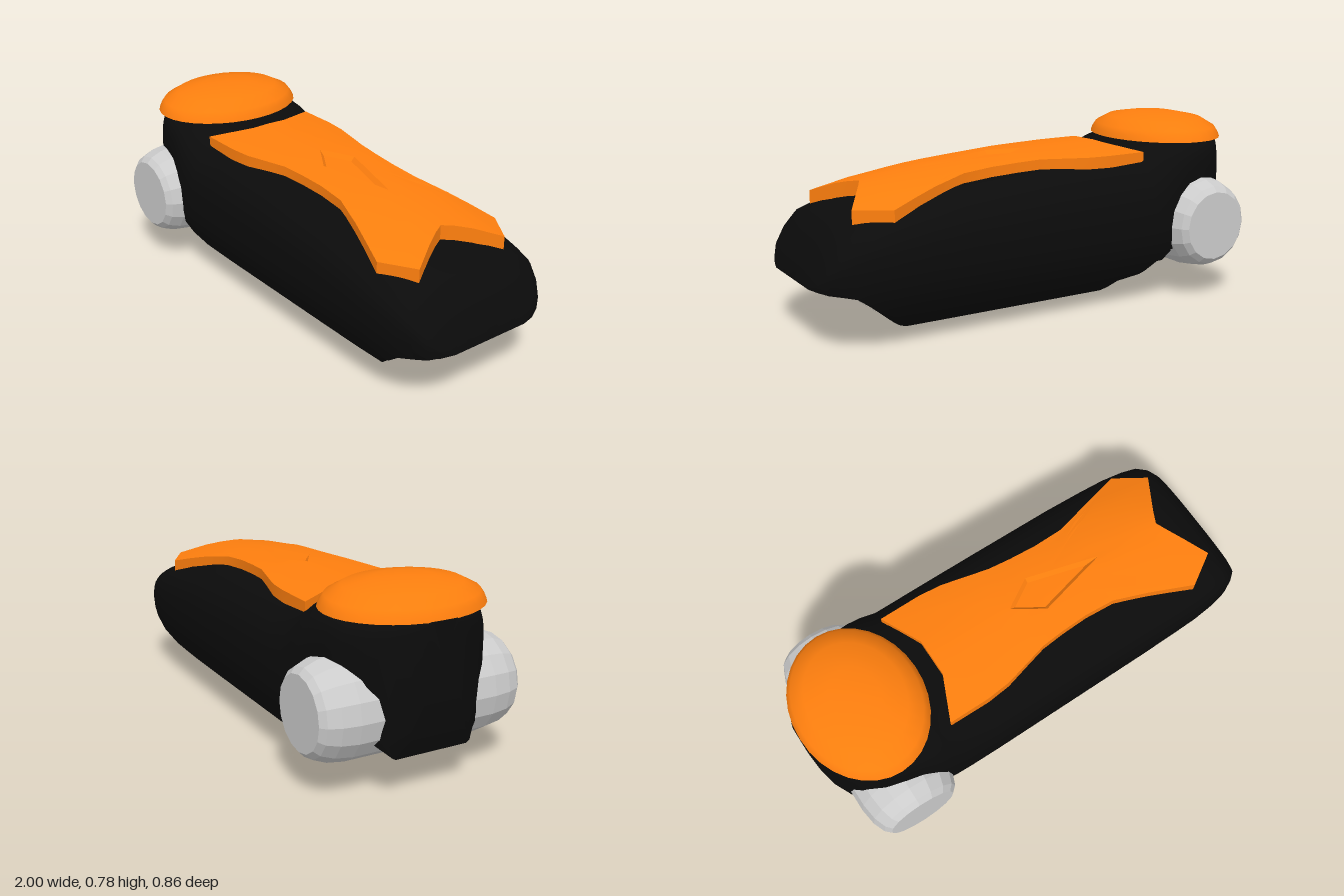
import * as THREE from 'three';
import { toCreasedNormals } from 'three/addons/utils/BufferGeometryUtils.js';

const paint = (color) => new THREE.MeshStandardMaterial({ color });

// Skin a list of closed rings (arrays of Vector3 of equal length).
function loft(rings, crease) {
  const n = rings[0].length, index = [];
  for (let i = 0; i < rings.length - 1; i++) {
    for (let j = 0; j < n; j++) {
      const a = i * n + j, b = i * n + (j + 1) % n, c = a + n, d = b + n;
      index.push(a, c, b, b, c, d);
    }
  }
  const geo = new THREE.BufferGeometry().setFromPoints(rings.flat());
  geo.setIndex(index);
  return toCreasedNormals(geo, crease);
}

// Linear lookup in a sorted table of [x, value].
function lookup(table, x) {
  let i = 1;
  while (i < table.length - 1 && x > table[i][0]) i++;
  const [x0, v0] = table[i - 1], [x1, v1] = table[i];
  return THREE.MathUtils.lerp(v0, v1, THREE.MathUtils.clamp((x - x0) / (x1 - x0), 0, 1));
}

// Body stations: x, top, underside, half width, squareness of the upper half
const stations = [
  [-1, 0.68, 0.40, 0.07, 8], [-0.985, 0.68, 0.28, 0.12, 8], [-0.95, 0.68, 0.17, 0.19, 8],
  [-0.9, 0.68, 0.24, 0.25, 8], [-0.82, 0.68, 0.34, 0.305, 8], [-0.74, 0.68, 0.36, 0.33, 8],
  [-0.66, 0.68, 0.33, 0.345, 6], [-0.6, 0.68, 0.22, 0.362, 4.5], [-0.54, 0.675, 0.17, 0.37, 3.6],
  [-0.47, 0.645, 0.112, 0.373, 3], [-0.33, 0.635, 0, 0.375, 3], [0, 0.625, 0, 0.375, 3],
  [0.4, 0.595, 0, 0.375, 3], [0.58, 0.565, 0, 0.373, 3], [0.7, 0.54, 0.098, 0.37, 3],
  [0.8, 0.51, 0.18, 0.36, 3], [0.87, 0.485, 0.23, 0.345, 3], [0.92, 0.43, 0.24, 0.32, 2.8],
  [0.96, 0.36, 0.245, 0.29, 2.6], [0.985, 0.30, 0.25, 0.24, 2.4], [1, 0.255, 0.25, 0.18, 2.2],
];

function makeBody() {
  const N = 40;
  const rings = stations.map(([x, top, bot, w, n]) => {
    const cy = Math.min(0.33, (top + 0.25) / 2);
    return Array.from({ length: N }, (_, j) => {
      const a = (j / N) * Math.PI * 2, c = Math.cos(a), s = Math.sin(a);
      const e = s > 0 ? 2 / n : 1;
      const z = w * Math.sign(c) * Math.abs(c) ** e;
      const y = s > 0 ? cy + (top - cy) * s ** e : cy + cy * s;
      return new THREE.Vector3(x, Math.max(y, bot), z);
    });
  });
  const close = (x, y) => Array.from({ length: N }, () => new THREE.Vector3(x, y, 0));
  return loft([close(-1, 0.54), ...rings, close(1, 0.252)], 0.65);
}

// Top cover: rings grow from the centre of the diamond recess to the outline
function makeCover() {
  const half = [
    [0.71, 0], [0.735, 0.05], [0.77, 0.11], [0.835, 0.215], [0.7, 0.30], [0.6, 0.268],
    [0.5, 0.235], [0.35, 0.19], [0.22, 0.184], [0.1, 0.19], [0, 0.2], [-0.1, 0.225],
    [-0.2, 0.25], [-0.3, 0.26], [-0.48, 0.26], [-0.4, 0.08], [-0.4, 0],
  ];
  const outline = [...half, ...half.slice(1, -1).reverse().map(([x, z]) => [x, -z])].reverse();
  const crest = [[-0.48, 0.67], [-0.4, 0.672], [0, 0.665], [0.4, 0.64], [0.71, 0.602], [0.84, 0.57]];
  const droop = [[-0.48, 0.35], [0.2, 0.4], [0.7, 0.7], [0.84, 0.7]];
  const ring = (k, drop) => outline.map(([ox, oz]) => {
    const dx = ox - 0.1, dz = oz;
    const r = 1 / (Math.abs(dz) / 0.08 + (dx > 0 ? dx / 0.31 : -dx / 0.13));
    const f = k <= 1 ? r * k : THREE.MathUtils.lerp(r, 1, k - 1);
    const x = 0.1 + dx * f, z = dz * f;
    return new THREE.Vector3(x, lookup(crest, x) - lookup(droop, x) * z * z - drop, z);
  });
  return loft([
    ring(0, 0.018), ring(0.8, 0.018), ring(1, 0),
    ring(1.25, 0), ring(1.5, 0), ring(1.75, 0), ring(2, 0),
    ring(2, 0.06), ring(1.5, 0.06), ring(1, 0.06), ring(0, 0.06),
  ], 0.5);
}

export function createModel() {
  const model = new THREE.Group();
  const add = (name, geo, material) => {
    const mesh = new THREE.Mesh(geo, material);
    mesh.name = name;
    model.add(mesh);
    return mesh;
  };
  const lathe = (pts, sides) =>
    new THREE.LatheGeometry(pts.map(([r, y]) => new THREE.Vector2(r, y)), sides);
  const black = paint(0x0b0b0b), orange = paint(0xff7f0e), grey = paint(0xcccccc);

  add('body', makeBody(), black);
  add('topCover', makeCover(), orange);

  // Domed cap over the rear head
  const dome = lathe([[0, 0], [1, 0], [0.97, 0.022], [0.92, 0.044], [0.72, 0.077], [0.37, 0.096], [0, 0.101]], 32);
  dome.scale(0.263, 1, 0.327);
  add('rearCap', toCreasedNormals(dome, 0.7), orange).position.set(-0.737, 0.677, 0);

  // Barrel roller running across the rear
  const side = [[0.2, 0.29], [0.19, 0.36], [0.17, 0.41], [0.147, 0.432], [0, 0.432]];
  const profile = [...side.map(([r, z]) => [r, -z]).reverse(), ...side];
  const barrel = lathe(profile, 16).toNonIndexed();
  barrel.computeVertexNormals();
  barrel.rotateX(Math.PI / 2);
  add('rearRoller', barrel, grey).position.set(-0.745, 0.327, 0);

  // Half-round panel on the sloping underside of the nose
  const up = new THREE.Vector3(0.22, 0.18, 0).normalize();
  const out = new THREE.Vector3(up.y, -up.x, 0);
  const panel = new THREE.CircleGeometry(0.19, 7, Math.PI, Math.PI);
  panel.scale(1, 0.85, 1);
  panel.applyMatrix4(new THREE.Matrix4().makeBasis(new THREE.Vector3(0, 0, -1), up, out));
  add('nosePanel', panel, grey).position.set(0.798, 0.178, 0).addScaledVector(out, 0.005);

  return model;
}
